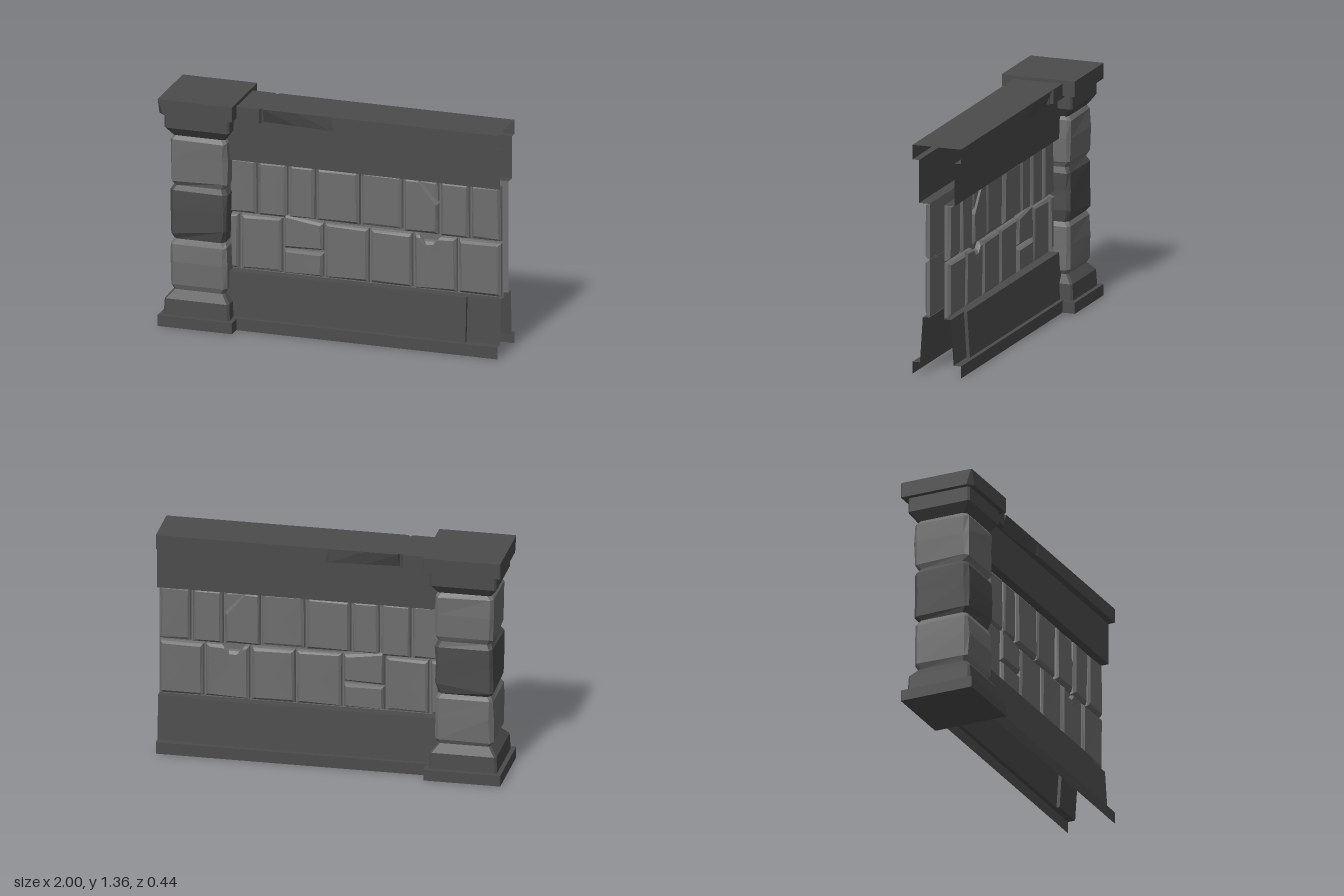
import * as THREE from 'three';

const mat = (color) => new THREE.MeshStandardMaterial({ color, flatShading: true, side: THREE.DoubleSide });
const stone = mat(0x6e6e6e), dark = mat(0x4c4c4c);

// Small seeded noise in -1..1
let seed = 7;
const rnd = () => { seed = (seed * 16807) % 2147483647; return (seed / 2147483647) * 2 - 1; };

// Skin a list of cross-sections; rings run counterclockwise around the direction of travel
function loft(rings, { closed = true, start = false, end = false } = {}) {
  const pos = [];
  const n = rings[0].length;
  const tri = (...p) => p.forEach((v) => pos.push(...v));
  for (let i = 0; i < rings.length - 1; i++) {
    for (let j = 0; j < (closed ? n : n - 1); j++) {
      const k = (j + 1) % n, a = rings[i], b = rings[i + 1];
      tri(a[j], a[k], b[k]);
      tri(a[j], b[k], b[j]);
    }
  }
  const cap = (r, flip) => {
    const c = [0, 1, 2].map((d) => r.reduce((s, p) => s + p[d], 0) / n);
    r.forEach((p, j) => (flip ? tri(c, r[(j + 1) % n], p) : tri(c, p, r[(j + 1) % n])));
  };
  if (start) cap(rings[0], true);
  if (end) cap(rings.at(-1), false);
  const g = new THREE.BufferGeometry();
  g.setAttribute('position', new THREE.Float32BufferAttribute(pos, 3));
  g.computeVertexNormals();
  return g;
}

function add(parent, name, geometry, material) {
  const m = new THREE.Mesh(geometry, material);
  m.name = name;
  parent.add(m);
  return m;
}

// Square ring with chamfered corners, optionally roughened
function ring(h, y, ch = 0.004, rough = 0) {
  const k = h - ch;
  return [[h, k], [h, -k], [k, -h], [-k, -h], [-h, -k], [-h, k], [-k, h], [k, h]]
    .map(([x, z]) => [x + rnd() * rough, y + rnd() * rough * 1.3, z + rnd() * rough]);
}

function createPillar() {
  const g = new THREE.Group();
  g.name = 'pillar';
  g.position.x = -0.778;
  const ends = { start: true, end: true };

  add(g, 'pillarPlinth', loft([ring(0.222, 0), ring(0.222, 0.065)], ends), dark);
  add(g, 'pillarBase', loft([ring(0.197, 0.065, 0.012), ring(0.192, 0.16, 0.012), ring(0.152, 0.208, 0.012)], ends), dark);

  // Three rough blocks separated by pinched joints
  [[0.205, 0.51, stone], [0.51, 0.83, dark], [0.83, 1.13, stone]].forEach(([y0, y1, m], i) => {
    const low = ring(0.167, y0 + 0.03, 0.018, 0.004);
    if (i === 1) low.forEach((p) => { p[1] += 0.02 + p[0] * 0.13; });
    add(g, 'pillarBlock', loft([
      ring(0.151, y0, 0.02),
      low,
      ring(0.169, (y0 + y1) / 2 + 0.02, 0.022, 0.005),
      ring(0.167, y1 - 0.028, 0.018, 0.004),
      ring(0.151, y1, 0.02),
    ]), m);
  });

  add(g, 'pillarNeck', loft([ring(0.155, 1.128, 0.012), ring(0.193, 1.18, 0.012), ring(0.193, 1.265, 0.012)], ends), dark);

  // Top slab with one chipped lower corner
  const slabBottom = ring(0.222, 1.265);
  slabBottom[5][2] -= 0.03;
  slabBottom[6][0] += 0.03;
  add(g, 'pillarTop', loft([slabBottom, ring(0.222, 1.355)], ends), dark);
  return g;
}

// Wall section drawn from top to bottom as [z, y], swept along x
const sweep = (stations) => loft(stations.map(([x, prof]) => prof.map(([z, y]) => [x, y, z])), { closed: false });

// Bevelled stone standing out of the mortar; pts run counterclockwise
function brick(parent, pts, front = 0.075) {
  const c = [0, 1].map((d) => pts.reduce((s, p) => s + p[d], 0) / pts.length);
  const inset = (p, a) => [0, 1].map((d) => p[d] + Math.sign(c[d] - p[d]) * Math.min(a, Math.abs(c[d] - p[d]) * 0.6));
  const at = (a, z, r) => pts.map((p) => {
    const [x, y] = inset(p, a);
    return [x + rnd() * r, y + rnd() * r, z + rnd() * r * 0.5];
  });
  add(parent, 'wallBrick', loft([at(0, 0.044, 0), at(0.006, 0.062, 0.002), at(0.019, front, 0.005)], { end: true }), stone);
}

const rect = (x0, x1, y0, y1) => [[x0, y0], [x1, y0], [x1, y1], [x0, y1]];

function createWallSide() {
  const g = new THREE.Group();
  g.name = 'wallSide';
  const X0 = -0.63, X1 = 1;

  // Coping: narrow slot, then a long chip fading out along the lower edge
  const coping = (top, low) => [[0, 1.335], [top, 1.335], [low, 1.25], [0.107, 1.25]];
  add(g, 'coping', sweep([
    [X0, coping(0.147, 0.147)], [-0.42, coping(0.147, 0.147)], [-0.412, coping(0.13, 0.125)],
    [-0.402, coping(0.13, 0.125)], [-0.395, coping(0.147, 0.112)], [-0.2, coping(0.147, 0.125)],
    [0.0, coping(0.147, 0.138)], [0.03, coping(0.147, 0.147)], [X1, coping(0.147, 0.147)],
  ]), dark);

  const beam = [[0.107, 1.25], [0.107, 1.0], [0.045, 1.0]];
  add(g, 'upperBeam', sweep([[X0, beam], [X1, beam]]), dark);

  const mortar = [[0.045, 1.0], [0.045, 0.335]];
  add(g, 'mortar', sweep([[X0, mortar], [X1, mortar]]), stone);

  // Base course, stepping back slightly near the open end
  const base = (d) => [[0.045, 0.335], [0.105 - d, 0.335], [0.122 - d, 0.07], [0.147, 0.07], [0.147, 0]];
  add(g, 'baseCourse', sweep([[X0, base(0)], [0.8, base(0)], [0.8, base(0.02)], [X1, base(0.02)]]), dark);

  // Upper brick row, one brick with a cracked corner
  const upper = [-0.63, -0.455, -0.275, -0.11, 0.155, 0.41, 0.625, 0.81, 1.0];
  for (let i = 0; i < upper.length - 1; i++) {
    const a = upper[i] + 0.004, b = upper[i + 1] - 0.004;
    const y0 = 0.675 + rnd() * 0.006, y1 = 0.998;
    if (i === 5) {
      brick(g, [[a, y0], [b, y0], [b, 0.86], [0.495, y1], [a, y1]]);
      brick(g, [[b, 0.872], [b, y1], [0.507, y1]], 0.07);
    } else brick(g, rect(a, b, y0, y1), 0.074 + rnd() * 0.003);
  }

  // Lower brick row, one split brick and one with a chipped top
  const lower = [-0.63, -0.56, -0.305, -0.06, 0.21, 0.47, 0.735, 1.0];
  for (let i = 0; i < lower.length - 1; i++) {
    const a = lower[i] + 0.004, b = lower[i + 1] - 0.004;
    const y0 = 0.34, y1 = 0.668 + rnd() * 0.006;
    if (i === 2) {
      brick(g, rect(a, b, y0, 0.488));
      brick(g, [[a, 0.49], [b, 0.5], [b, 0.668], [a, 0.695]]);
    } else if (i === 5) {
      brick(g, [[a, y0], [b, y0], [b, y1], [0.64, y1], [0.6, 0.635], [0.53, 0.635], [0.5, y1], [a, y1]]);
    } else brick(g, rect(a, b, y0, y1), 0.074 + rnd() * 0.003);
  }
  return g;
}

export function createModel() {
  const model = new THREE.Group();
  model.name = 'stoneWallWithPillar';
  model.add(createPillar());

  // Both faces of the hollow wall, mirrored front to back
  const front = createWallSide();
  const back = front.clone();
  front.name = 'wallFront';
  back.name = 'wallBack';
  back.scale.z = -1;
  model.add(front, back);
  return model;
}
